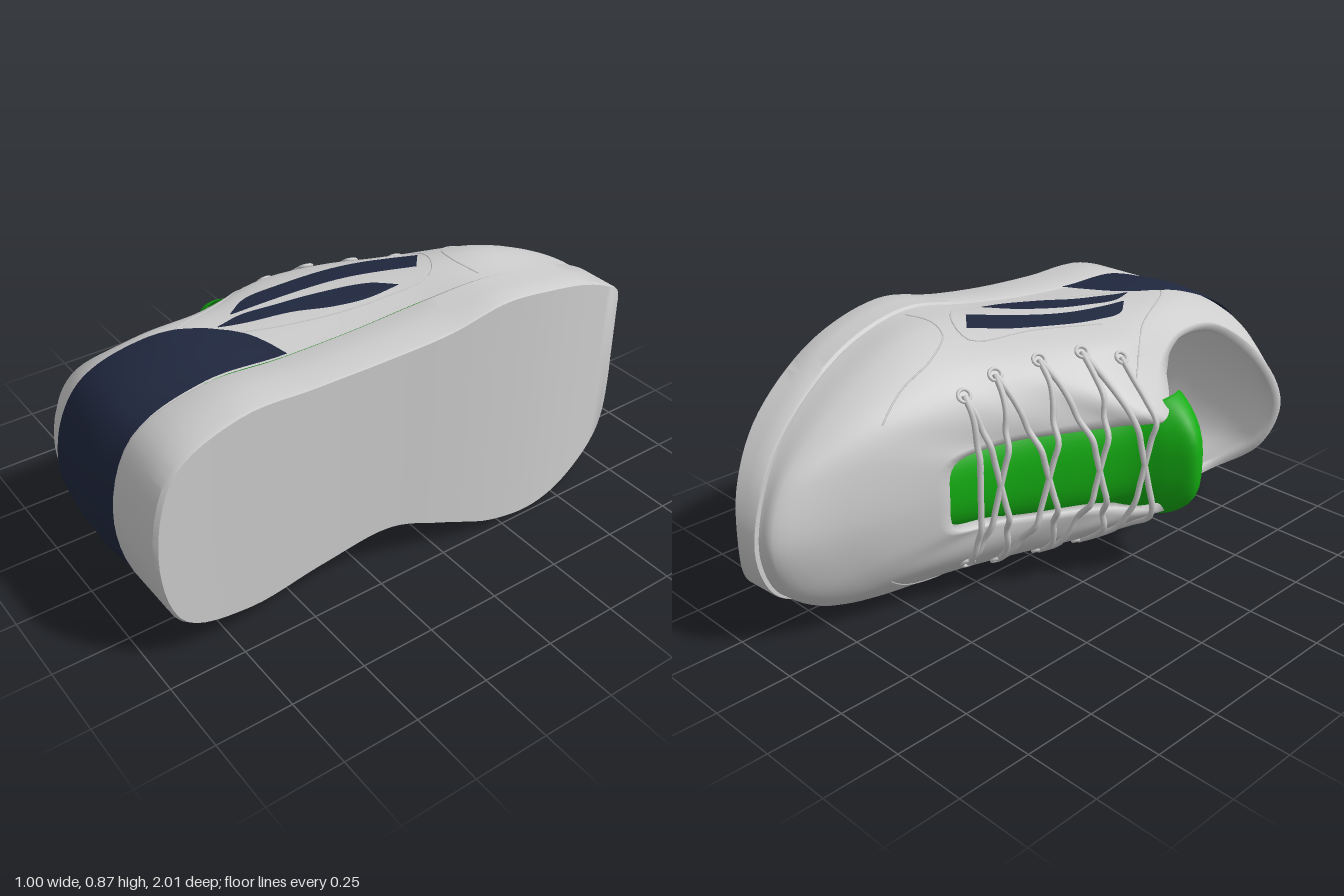
import * as THREE from 'three';
import { toCreasedNormals } from 'three/addons/utils/BufferGeometryUtils.js';

const V = (x, y, z) => new THREE.Vector3(x, y, z);
const material = (color) => new THREE.MeshStandardMaterial({ color, side: THREE.DoubleSide });
const GREY = 0xcccccc, NAVY = 0x20283f, GREEN = 0x14ac12;

// The shoe lies on its side: sole towards +x, toe at -z, heel at +z, width along y.
// Each level is a closed outline, given toe to heel as [z, x, low y, high y].
const SOLE_BOTTOM = [
  [-1, 0.215, 0.37, 0.37], [-0.955, 0.27, 0.21, 0.51], [-0.82, 0.365, 0.09, 0.65], [-0.6, 0.445, 0.02, 0.775],
  [-0.4, 0.487, 0.005, 0.84], [-0.2, 0.498, 0.04, 0.868], [0, 0.49, 0.12, 0.83], [0.2, 0.472, 0.185, 0.81],
  [0.45, 0.457, 0.15, 0.8], [0.7, 0.45, 0.11, 0.795], [0.91, 0.447, 0.165, 0.69], [0.98, 0.447, 0.4, 0.4]];
const SOLE_TOP = [
  [-0.995, 0.13, 0.37, 0.37], [-0.945, 0.155, 0.21, 0.52], [-0.82, 0.215, 0.09, 0.65], [-0.6, 0.285, 0.02, 0.78],
  [-0.4, 0.33, 0.005, 0.845], [-0.2, 0.34, 0.02, 0.872], [0, 0.31, 0.07, 0.845], [0.2, 0.29, 0.105, 0.82],
  [0.45, 0.27, 0.1, 0.803], [0.7, 0.25, 0.095, 0.797], [0.91, 0.225, 0.16, 0.695], [0.985, 0.21, 0.41, 0.41]];
const WAIST = [
  [-0.965, 0.08, 0.38, 0.38], [-0.91, 0.1, 0.21, 0.54], [-0.78, 0.12, 0.095, 0.66], [-0.58, 0.14, 0.03, 0.775],
  [-0.38, 0.16, 0.012, 0.85], [-0.2, 0.16, 0.025, 0.862], [0, 0.13, 0.05, 0.848], [0.2, 0.11, 0.065, 0.828],
  [0.45, 0.1, 0.07, 0.81], [0.7, 0.08, 0.08, 0.8], [0.91, 0.06, 0.165, 0.7], [0.998, 0.05, 0.41, 0.41]];
const SHOULDER = [
  [-0.75, -0.003, 0.4, 0.4], [-0.7, 0.002, 0.25, 0.57], [-0.6, 0, 0.17, 0.67], [-0.45, -0.005, 0.12, 0.74],
  [-0.3, -0.015, 0.09, 0.78], [-0.12, -0.06, 0.085, 0.795], [0.05, -0.12, 0.088, 0.798], [0.22, -0.17, 0.095, 0.782],
  [0.45, -0.09, 0.082, 0.79], [0.7, -0.08, 0.1, 0.785], [0.9, -0.16, 0.2, 0.66], [0.972, -0.2, 0.41, 0.41]];
const RIM = [
  [-0.44, -0.1, 0.42, 0.42], [-0.42, -0.1, 0.31, 0.53], [-0.25, -0.14, 0.29, 0.56], [-0.06, -0.235, 0.285, 0.565],
  [0.08, -0.32, 0.28, 0.57], [0.19, -0.41, 0.26, 0.585], [0.27, -0.36, 0.22, 0.62], [0.4, -0.24, 0.17, 0.68],
  [0.56, -0.185, 0.135, 0.72], [0.73, -0.205, 0.15, 0.7], [0.84, -0.33, 0.25, 0.57], [0.885, -0.375, 0.41, 0.41]];

function ring(rows, scale = 1) {
  const y = (v) => 0.42 + (v - 0.42) * scale;
  const high = rows.map((r) => V(r[1], y(r[3]), r[0] * scale));
  const low = rows.slice(1, -1).reverse().map((r) => V(r[1], y(r[2]), r[0] * scale));
  return new THREE.CatmullRomCurve3([...high, ...low], true);
}

// Surface from f(u, v); u may wrap round
function grid(f, nu, nv, wrap = false) {
  const pos = [], idx = [], cols = wrap ? nu : nu + 1;
  for (let j = 0; j <= nv; j++)
    for (let i = 0; i < cols; i++) pos.push(...f(i / nu, j / nv).toArray());
  for (let j = 0; j < nv; j++)
    for (let i = 0; i < nu; i++) {
      const a = j * cols + i, b = j * cols + (i + 1) % cols;
      idx.push(a, a + cols, b, b, a + cols, b + cols);
    }
  const g = new THREE.BufferGeometry();
  g.setAttribute('position', new THREE.Float32BufferAttribute(pos, 3));
  g.setIndex(idx);
  g.computeVertexNormals();
  return g;
}

export function createModel() {
  const group = new THREE.Group();
  const add = (name, geo, color = GREY) => {
    const m = new THREE.Mesh(geo, material(color));
    m.name = name;
    group.add(m);
    return m;
  };

  // Sole: bottom cap, bevelled edge, side wall, top cap
  const bottom = ring(SOLE_BOTTOM), bevel = ring(SOLE_BOTTOM, 0.99), top = ring(SOLE_TOP);
  const centre = (c, u) => c.getPoint(u).add(c.getPoint((1 - u) % 1)).multiplyScalar(0.5);
  const wall = (t) => (u) => bottom.getPoint(u).lerp(top.getPoint(u), t);
  const soleRows = [(u) => centre(bevel, u), (u) => bevel.getPoint(u), wall(0.06), wall(0.5), wall(0.93),
    (u) => top.getPoint(u).lerp(centre(top, u), 0.02), (u) => centre(top, u)];
  add('sole', toCreasedNormals(grid((u, v) => soleRows[Math.round(v * 6)](u), 132, 6, true), 0.6));

  // Upper: outer skin lofted through the levels, then folded over into the lining
  const levels = [ring(SOLE_TOP, 0.985), ring(WAIST), ring(SHOULDER), ring(RIM)];
  const skin = (u, v) => new THREE.CatmullRomCurve3(levels.map((c) => c.getPoint((u + 1) % 1))).getPoint(v);
  const offset = (u, v, d) => {
    const du = skin(u + 0.004, v).sub(skin(u - 0.004, v));
    const dv = skin(u, Math.min(1, v + 0.01)).sub(skin(u, Math.max(0, v - 0.01)));
    return skin(u, v).addScaledVector(dv.cross(du).normalize(), d);
  };
  const upper = add('upper', grid((u, w) => {
    const s = w * 40;
    return s <= 24 ? skin(u, s / 24) : offset(u, 1 - (s - 25) / 15 * 0.9, -0.03);
  }, 132, 40, true));

  // Heel band, cut off along a curved edge
  const edge = [[0.43, 0.27], [0.442, 0.2], [0.465, 0.137], [0.5, 0.085], [0.555, 0.03], [0.625, -0.015],
    [0.71, -0.05], [0.83, -0.09], [0.97, -0.13], [1.1, -0.13]];
  const edgeX = (z) => {
    const k = Math.max(1, edge.findIndex((e) => e[0] > z));
    const [a, b] = [edge[k - 1], edge[k]];
    return THREE.MathUtils.mapLinear(z, a[0], b[0], a[1], b[1]);
  };
  const bandTop = (u) => {
    let lo = 0, hi = 1;
    for (let k = 0; k < 18; k++) {
      const m = (lo + hi) / 2, p = skin(u, m);
      if (p.x > edgeX(p.z)) lo = m; else hi = m;
    }
    return lo;
  };
  add('heelBand', grid((a, v) => {
    const u = 0.358 + 0.284 * a;
    return offset(u, v * bandTop(u), 0.007);
  }, 120, 12), NAVY);

  // Tongue: arched padded strip with a flared lip, as [z, x, half width, drop]
  const tonguePath = [[-0.47, -0.05, 0.12, 0.02], [-0.22, -0.13, 0.16, 0.04], [0, -0.24, 0.18, 0.05],
    [0.14, -0.33, 0.18, 0.06], [0.2, -0.42, 0.19, 0.08], [0.25, -0.485, 0.21, 0.12],
    [0.3, -0.47, 0.215, 0.11], [0.335, -0.4, 0.18, 0.05]];
  const alongPath = (k) => new THREE.CatmullRomCurve3(tonguePath.map((r) => V(r[k], r[k + 1], 0)));
  const place = alongPath(0), size = alongPath(2);
  add('tongue', grid((u, v) => {
    const p = place.getPoint(v), s = size.getPoint(v), t = Math.cos(u * Math.PI * 2);
    return V(p.y + s.y * Math.abs(t) ** 3 - 0.015 * Math.sin(u * Math.PI * 2), 0.42 + s.x * t, p.x + 0.02 * t * t * v ** 3);
  }, 32, 40, true), GREEN);

  // Drop a point onto the upper, from either side or from over the laces
  const caster = new THREE.Raycaster();
  const cast = (from, dir) => {
    caster.set(from, dir);
    return caster.intersectObject(upper)[0];
  };
  const onSide = (z, x, side, lift) => {
    const hit = cast(V(x, 0.42 + side * 2, z), V(0, -side, 0));
    if (!hit) return null;
    const n = hit.face.normal.clone();
    if (n.y * side < 0) n.negate();
    return { p: hit.point.clone().addScaledVector(n, lift), n };
  };
  const line = (pts) => new THREE.CatmullRomCurve3(pts.map((p) => V(p[1], 0, p[0])));

  // Side stripes, each between two edge curves in [z, x]
  const stripes = [
    [[[-0.18, 0.1], [-0.05, 0.02], [0.1, -0.035], [0.25, -0.06], [0.36, -0.06], [0.45, 0]],
      [[-0.12, 0.17], [0, 0.1], [0.1, 0.055], [0.22, 0.025], [0.35, 0.01], [0.45, 0.005]]],
    [[[-0.02, 0.21], [0.05, 0.14], [0.2, 0.075], [0.32, 0.045], [0.43, 0.025], [0.52, 0.045]],
      [[-0.015, 0.212], [0.09, 0.205], [0.2, 0.17], [0.31, 0.115], [0.43, 0.08], [0.52, 0.05]]]];
  const seams = [
    [[-0.6, 0.01], [-0.5, 0.04], [-0.36, 0.06], [-0.27, 0.11], [-0.24, 0.2], [-0.25, 0.31]],
    [[0.2, -0.28], [0.4, -0.13], [0.64, 0], [0.5, 0.09], [0.3, 0.17], [0.05, 0.225], [-0.13, 0.225], [-0.21, 0.06], [0, -0.01], [0.25, -0.08]]];
  const eyeletSpots = [[-0.34, -0.06], [-0.22, -0.07], [-0.07, -0.11], [0.07, -0.16], [0.19, -0.22]];
  const eyelets = { 1: [], '-1': [] };
  for (const side of [1, -1]) {
    for (const [a, b] of stripes) {
      const ca = line(a), cb = line(b);
      add('sideStripe', grid((u, v) => {
        const p = ca.getPoint(u).lerp(cb.getPoint(u), v);
        return onSide(p.z, p.x, side, 0.007).p;
      }, 28, 6), NAVY);
    }
    for (const s of seams) {
      const pts = line(s).getPoints(36).map((p) => onSide(p.z, p.x, side, 0)).filter(Boolean).map((h) => h.p);
      add('seam', new THREE.TubeGeometry(new THREE.CatmullRomCurve3(pts), 72, 0.003, 5));
    }
    for (const [z, x] of eyeletSpots) {
      const { p, n } = onSide(z, x, side, 0.004);
      const m = add('eyelet', new THREE.TorusGeometry(0.02, 0.006, 8, 18));
      m.position.copy(p);
      m.quaternion.setFromUnitVectors(V(0, 0, 1), n);
      eyelets[side].push(p);
    }
  }

  // Laces criss-cross from eyelet to eyelet, resting on flaps and bridging the throat
  const lace = (a, b) => {
    const pts = [a];
    for (let k = 1; k < 12; k++) {
      const p = a.clone().lerp(b, k / 12);
      const hit = cast(V(-2, p.y, p.z), V(1, 0, 0));
      const bridge = Math.abs(p.y - 0.425) < 0.15 ? -0.12 - (p.z + 0.34) * 0.54 : 1;
      p.x = Math.min(hit ? hit.point.x : p.x, bridge) - 0.01;
      pts.push(p);
    }
    add('lace', new THREE.TubeGeometry(new THREE.CatmullRomCurve3([...pts, b]), 48, 0.01, 8));
  };
  const [left, right] = [eyelets[1], eyelets[-1]];
  for (let i = 0; i < left.length - 1; i++) {
    lace(left[i], right[i + 1]);
    lace(right[i], left[i + 1]);
  }
  lace(left[0], right[0]);
  return group;
}
